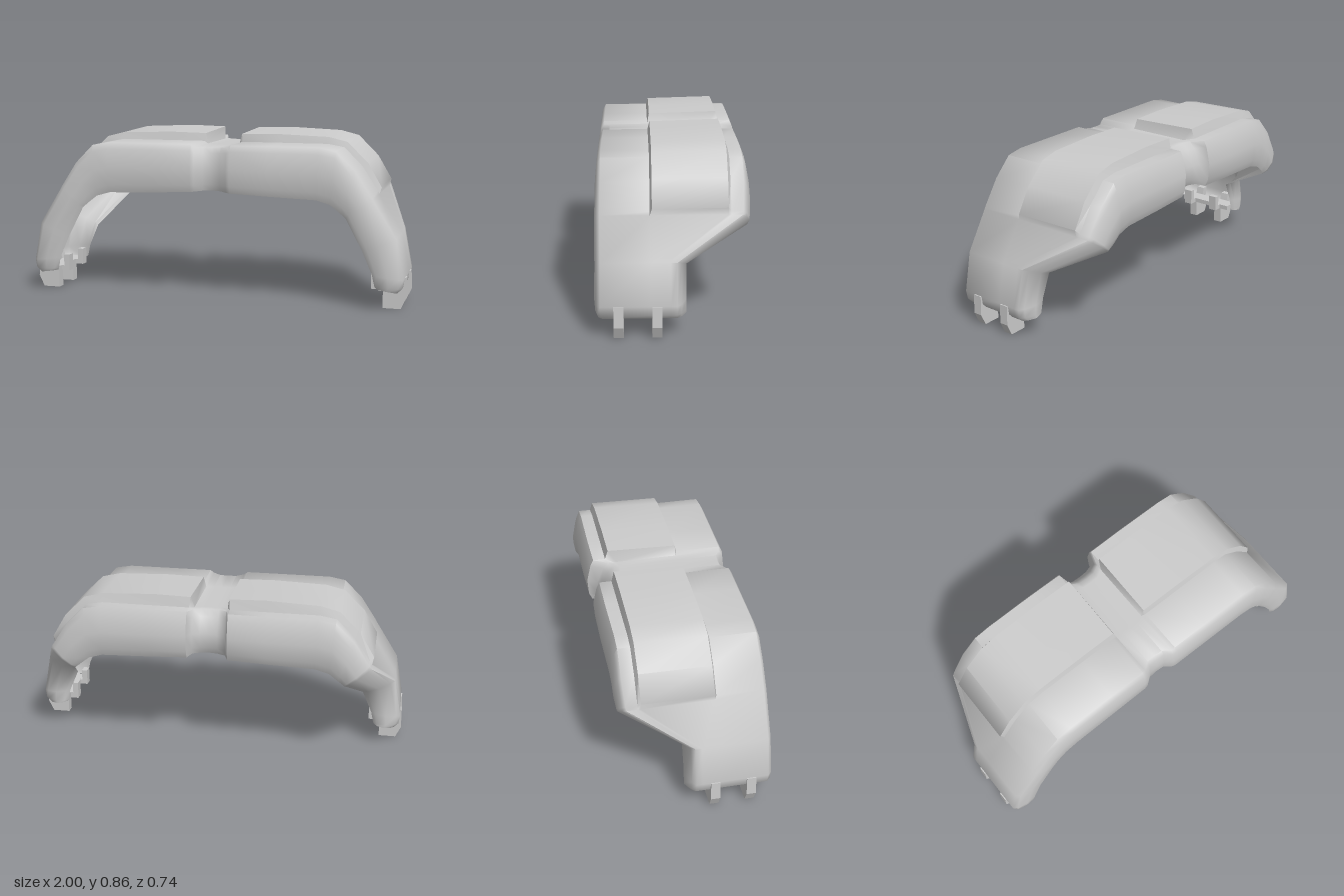
import * as THREE from 'three';
import { toCreasedNormals } from 'three/addons/utils/BufferGeometryUtils.js';

const material = new THREE.MeshStandardMaterial({ color: 0xcccccc, side: THREE.DoubleSide });

// Skin a list of cross-sections that all have the same number of points
function loft(sections, crease) {
  const n = sections[0].length, index = [];
  for (let i = 0; i < sections.length - 1; i++) {
    for (let j = 0; j < n - 1; j++) {
      const a = i * n + j, b = a + n;
      index.push(a, a + 1, b, b, a + 1, b + 1);
    }
  }
  const geo = new THREE.BufferGeometry();
  geo.setAttribute('position', new THREE.Float32BufferAttribute(sections.flat(2), 3));
  geo.setIndex(index);
  return toCreasedNormals(geo, crease);
}

function add(parent, name, geo) {
  const mesh = new THREE.Mesh(geo, material);
  mesh.name = name;
  parent.add(mesh);
  return mesh;
}

// Half arch from the centre down one leg: outer x, y, inner x, y,
// front z, back z, back bevel depth, shoulder pad offset x, y
const ARCH = [
  [0, 0.785, 0, 0.565, 0.335, -0.305, 0.07, 0, 0],
  [0.045, 0.785, 0.045, 0.563, 0.338, -0.308, 0.07, 0, 0],
  [0.085, 0.787, 0.085, 0.56, 0.367, -0.32, 0.06, 0, 0],
  [0.105, 0.8, 0.105, 0.557, 0.37, -0.37, 0.035, -0.006, 0.045],
  [0.3, 0.8, 0.3, 0.549, 0.37, -0.372, 0.035, -0.01, 0.049],
  [0.56, 0.8, 0.55, 0.54, 0.37, -0.37, 0.035, 0, 0.039],
  [0.645, 0.785, 0.62, 0.52, 0.37, -0.37, 0.035, 0.013, 0.03],
  [0.74, 0.69, 0.665, 0.485, 0.37, -0.37, 0.035, 0.025, 0.02],
  [0.82, 0.568, 0.695, 0.46, 0.372, -0.364, 0.035, 0.018, 0.018],
  [0.829, 0.552, 0.7, 0.455, 0.372, -0.362, 0.035, 0, 0],
  [0.95, 0.36, 0.785, 0.295, 0.37, -0.06, 0.045, 0, 0],
  [0.988, 0.16, 0.835, 0.18, 0.372, -0.06, 0.045, 0, 0],
  [0.982, 0.115, 0.848, 0.12, 0.368, -0.06, 0.045, 0, 0],
  [0.96, 0.092, 0.855, 0.11, 0.362, -0.06, 0.045, 0, 0],
];

// Channel section: front flange, outer skin with raised pad, back flange; open inside
function channel([ox, oy, ix, iy, zf, zb, bevel, px, py]) {
  const p = (t, z) => [ox + (ix - ox) * t, oy + (iy - oy) * t, z];
  const pad = (z, tilt) => [ox + px, oy + py * (1 + tilt), z];
  // On the legs the pad rows close up in front of the back edge
  const back = Math.max(zb + bevel + 0.03, -0.272);
  return [
    p(1, zf - 0.015), p(0.85, zf - 0.002), p(0.5, zf), p(0.13, zf - 0.01), p(0, zf - 0.028),
    p(0, 0.11), pad(0.1, -0.1), pad(back + 0.014, 0.15), p(0, back),
    p(0, zb + bevel), p(0.14, zb + bevel * 0.55), p(0.5, zb), p(0.85, zb + 0.006), p(1, zb + 0.022),
  ];
}

// Hooked clip: inner upright, cross web and downward peg
const CLIP = [
  [0.82, 0.18], [0.82, 0.095], [0.88, 0.095], [0.88, 0], [0.97, 0],
  [0.998, 0.06], [0.994, 0.16], [0.955, 0.16], [0.945, 0.12], [0.85, 0.12], [0.85, 0.18],
];

export function createModel() {
  const model = new THREE.Group();
  model.name = 'archedCover';

  // Main shell, mirrored about the centre
  const half = ARCH.map(channel);
  const mirrored = half.slice(1).reverse().map((section) => section.map(([x, y, z]) => [-x, y, z]));
  add(model, 'shell', loft([...mirrored, ...half], 1.1));

  // Two clips under each leg, joined by a short rail
  const clipShape = new THREE.Shape(CLIP.map(([x, y]) => new THREE.Vector2(x, y)));
  for (const [side, s] of [['left', 1], ['right', -1]]) {
    const foot = new THREE.Group();
    foot.name = side + 'Foot';
    for (const z of [0.235, 0.055]) {
      const clip = new THREE.ExtrudeGeometry(clipShape, { depth: 0.047, bevelEnabled: false });
      add(foot, 'clip', clip).position.z = z;
    }
    const rail = add(foot, 'rail', new THREE.BoxGeometry(0.08, 0.025, 0.32));
    rail.position.set(0.905, 0.108, 0.16);
    foot.scale.x = s;
    model.add(foot);
  }
  return model;
}
